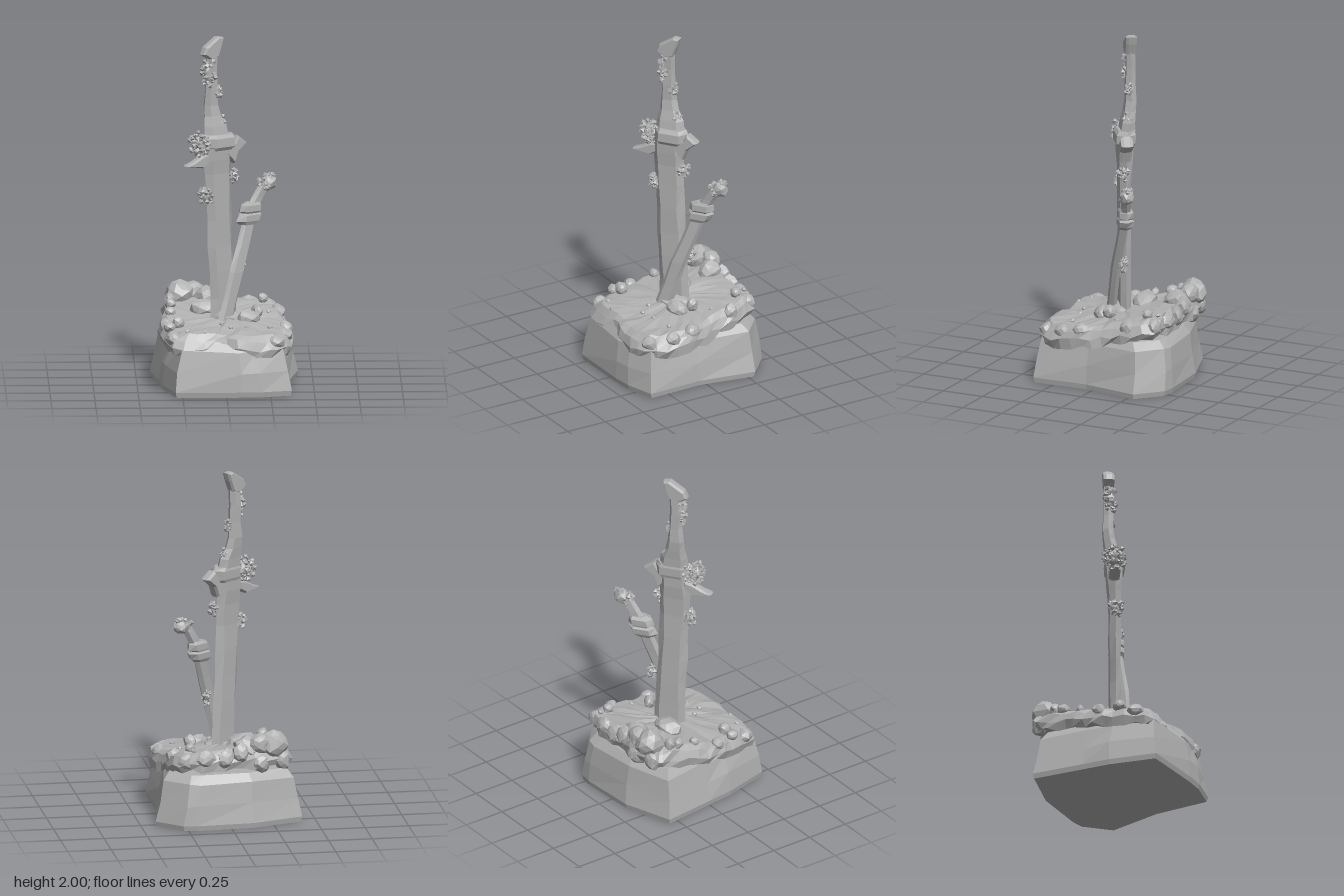
import * as THREE from 'three';
import { mergeGeometries } from 'three/addons/utils/BufferGeometryUtils.js';

const stone = new THREE.MeshStandardMaterial({ color: 0xb0b0b0, flatShading: true });
stone.name = 'weathered grey';

const THETA = 0.63; // heading of both blades
const C = Math.cos(THETA), S = Math.sin(THETA);

export function createModel() {
  const model = new THREE.Group();
  let seed = 7;
  const rand = () => (seed = (seed * 16807) % 2147483647) / 2147483647;
  const jit = (a) => (rand() - 0.5) * 2 * a;

  const add = (name, geo, parent = model) => {
    const mesh = new THREE.Mesh(geo, stone);
    mesh.name = name;
    parent.add(mesh);
    return mesh;
  };

  // Skin a stack of rings from bottom to top and close both ends
  function loft(rings) {
    const pos = [];
    const tri = (...p) => p.forEach((v) => pos.push(v.x, v.y, v.z));
    const mid = (r) => r.reduce((s, v) => s.add(v), new THREE.Vector3()).divideScalar(r.length);
    const n = rings[0].length, last = rings[rings.length - 1];
    const c0 = mid(rings[0]), c1 = mid(last);
    for (let i = 0; i < n; i++) {
      const j = (i + 1) % n;
      for (let k = 0; k + 1 < rings.length; k++) {
        const a = rings[k], b = rings[k + 1];
        tri(a[i], b[i], a[j]);
        tri(a[j], b[i], b[j]);
      }
      tri(c0, rings[0][i], rings[0][j]);
      tri(c1, last[j], last[i]);
    }
    const geo = new THREE.BufferGeometry();
    geo.setAttribute('position', new THREE.Float32BufferAttribute(pos, 3));
    geo.computeVertexNormals();
    return geo;
  }

  // Six-sided bar through sections [y, centreX, centreZ, halfWidth, halfThickness]
  const bar = (sections, rough = 0) => loft(sections.map(([y, cx, cz, w, t]) =>
    [[1, 0], [0.6, 1], [-0.6, 1], [-1, 0], [-0.6, -1], [0.6, -1]].map(([u, v]) => {
      const a = u * w + jit(rough), b = v * t;
      return new THREE.Vector3(cx + a * C + b * S, y, cz - a * S + b * C);
    })));

  // Outline plate standing in the blade plane, points given as x and y
  function plate(name, pts, cx, cz, depth, parent) {
    const shape = new THREE.Shape(pts.map(([x, y]) => new THREE.Vector2((x - cx) / C, y)));
    const geo = new THREE.ExtrudeGeometry(shape, {
      depth: depth * 0.5, bevelEnabled: true, bevelThickness: depth * 0.25,
      bevelSize: 0.008, bevelOffset: -0.008, bevelSegments: 1,
    });
    geo.translate(0, 0, -depth * 0.25);
    const m = add(name, geo, parent);
    m.position.set(cx, 0, cz);
    m.rotation.y = THETA;
  }

  // Irregular boulder
  function rockGeo(x, y, z, rx, ry, rz, detail = 1, rough = 0.13) {
    const geo = new THREE.IcosahedronGeometry(1, detail);
    const p = geo.attributes.position, k = rand() * 20;
    for (let i = 0; i < p.count; i++) {
      const a = p.getX(i), b = p.getY(i), c = p.getZ(i);
      const s = 1 + rough * Math.sin(a * 5 + b * 7 + k) * Math.cos(c * 6 - a * 3 + k);
      p.setXYZ(i, a * s * rx, b * s * ry, c * s * rz);
    }
    geo.rotateY(rand() * 0.8);
    geo.translate(x, y, z);
    geo.computeVertexNormals();
    return geo;
  }

  // Clump of tiny leaves
  function clump(name, x, y, z, rx, ry, rz, count, parent) {
    const parts = [];
    for (let i = 0; i < count; i++) {
      const d = new THREE.Vector3(jit(1), jit(1), jit(1)).normalize().multiplyScalar(0.55 + 0.4 * rand());
      const g = new THREE.OctahedronGeometry(0.011 + 0.007 * rand());
      g.rotateX(rand() * 3);
      g.rotateZ(rand() * 3);
      g.translate(x + d.x * rx, y + d.y * ry, z + d.z * rz);
      parts.push(g);
    }
    parts.push(rockGeo(x, y, z, rx * 0.65, ry * 0.65, rz * 0.65, 0));
    add(name, mergeGeometries(parts), parent);
  }

  // Stone block
  const foot = [[.36, .04], [.37, .37], [.2, .42], [.08, .43], [-.29, .43], [-.36, .16],
    [-.38, 0], [-.42, -.31], [-.13, -.41], [.2, -.43], [.28, -.42], [.42, -.29]];
  add('stoneBlock', loft([[0, .985, .985, 0], [.03, 1, 1, 0], [.14, .95, .975, .008], [.26, .88, .93, .008], [.31, .8, .85, 0]]
    .map(([y, sx, sz, r]) => foot.map(([x, z]) =>
      new THREE.Vector3(x * sx + jit(r), y + jit(r), z * sz + jit(r))))));

  // Mossy ground draped over the block
  const rim = [[.35, -.05], [.38, .05], [.37, .2], [.33, .33], [.2, .4], [.08, .4], [-.02, .37],
    [-.15, .39], [-.29, .37], [-.34, .25], [-.36, .12], [-.38, 0], [-.36, -.1], [-.35, -.25],
    [-.34, -.35], [-.2, -.39], [0, -.38], [.15, -.38], [.28, -.36], [.33, -.25]];
  const edge = new THREE.CatmullRomCurve3(rim.map(([x, z]) => new THREE.Vector3(x, 0, z)), true)
    .getSpacedPoints(44).slice(0, 44);
  const height = (x, z) => 0.39 - 0.12 * z + (z < 0 ? -0.07 * z : 0) - 0.05 * Math.max(0, x);
  add('mossyGround', loft([[.88, -.1, .01], [.98, -.115, .018], [1.01, -.07, .014], [.96, -.025, .012],
    [.87, 0, .01], [.68, .003, .008], [.45, .005, .008], [.22, .01, .005]]
    .map(([s, dy, r]) => edge.map((p) => {
      const x = p.x * s + jit(r * 0.6), z = p.z * s + jit(r * 0.6);
      return new THREE.Vector3(x, height(x, z) + dy + jit(r), z);
    }))));

  // Boulders and mounds [x, y, z, rx, ry, rz]
  const rocks = new THREE.Group();
  rocks.name = 'rocks';
  model.add(rocks);
  [[-.25, .465, -.33, .085, .08, .08], [-.17, .48, -.35, .06, .06, .055], [-.1, .45, -.31, .07, .065, .08],
    [-.06, .43, -.36, .05, .06, .045], [-.31, .45, -.23, .03, .04, .03], [-.31, .44, -.17, .03, .03, .04],
    [-.31, .41, -.06, .03, .03, .025], [-.27, .39, .18, .035, .04, .035], [-.32, .37, .2, .035, .03, .035],
    [.22, .45, -.28, .03, .03, .03], [.18, .42, -.02, .03, .04, .04], [.13, .39, .05, .07, .05, .05],
    [-.11, .42, -.1, .09, .06, .07], [.3, .38, -.2, .04, .05, .05], [.34, .34, .08, .04, .045, .05],
    [.33, .32, .2, .045, .04, .05], [.28, .3, .32, .05, .04, .05], [-.3, .32, .3, .045, .04, .05],
    [-.34, .36, .08, .035, .04, .04], [-.3, .38, -.34, .05, .06, .045], [-.18, .37, -.36, .06, .06, .04],
    [.02, .4, -.36, .06, .06, .04], [.14, .4, -.36, .06, .05, .04], [.25, .39, -.34, .05, .05, .04],
    [.01, .39, 0, .1, .04, .08]]
    .forEach((r) => add('rock', rockGeo(...r), rocks));

  // Scattered pebbles
  [[-.22, .3], [-.12, .33], [.03, .22], [.12, .2], [.25, .18], [-.02, .15], [.21, -.34], [.25, -.1]]
    .forEach(([x, z]) => add('pebble', rockGeo(x, height(x, z) + .006, z, .016, .014, .014, 0), rocks));

  // Tall sword: worn blade, collar, tapering grip and slanted pommel
  const tall = new THREE.Group();
  tall.name = 'tallSword';
  model.add(tall);
  add('tallBlade', bar([[.33, -.01, -.015, .094, .03], [.5, -.013, -.014, .093, .03], [.66, -.02, -.01, .088, .032],
    [.8, -.028, -.007, .088, .03], [.95, -.033, -.004, .086, .033], [1.1, -.038, 0, .09, .031],
    [1.22, -.043, 0, .094, .034], [1.3, -.045, 0, .095, .042], [1.38, -.045, 0, .085, .045]], .005), tall);
  add('tallCollar', bar([[1.355, -.035, -.005, .095, .045], [1.375, -.03, -.005, .105, .055],
    [1.425, -.03, -.008, .105, .055], [1.445, -.035, -.01, .09, .045]], .004), tall);
  add('tallGrip', bar([[1.42, -.045, -.01, .088, .04], [1.49, -.055, -.014, .08, .036], [1.55, -.07, -.018, .06, .032],
    [1.61, -.08, -.02, .047, .03], [1.7, -.076, -.02, .04, .028], [1.8, -.08, -.02, .036, .026],
    [1.91, -.075, -.02, .034, .026]], .003), tall);
  plate('tallPommel', [[-.09, 1.87], [-.05, 1.885], [-.03, 1.95], [-.02, 1.995], [-.05, 2],
    [-.12, 1.945], [-.135, 1.905]], -.075, -.02, .062, tall);
  plate('guardHorn', [[-.01, 1.33], [.04, 1.27], [.06, 1.335], [.11, 1.385], [.06, 1.43], [.04, 1.39], [0, 1.39]],
    0, -.02, .07, tall);
  plate('guardTip', [[-.23, 1.28], [-.14, 1.26], [-.1, 1.29], [-.1, 1.34], [-.14, 1.33], [-.19, 1.3]],
    -.1, .03, .06, tall);

  // Growth on the tall sword
  clump('guardMoss', -.14, 1.4, .06, .075, .075, .07, 95, tall);
  clump('bladeMoss', -.11, 1.1, .05, .05, .06, .04, 45, tall);
  clump('bladeMoss', .05, 1.2, -.04, .025, .045, .04, 30, tall);
  clump('gripMoss', -.095, 1.8, .005, .045, .1, .035, 50, tall);
  clump('gripMoss', -.04, 1.68, -.03, .022, .04, .028, 20, tall);
  clump('gripMoss', -.015, 1.51, -.035, .022, .04, .03, 20, tall);

  // Short leaning sword
  const lean = new THREE.Group();
  lean.name = 'leaningSword';
  model.add(lean);
  add('leaningBlade', bar([[.34, -.012, .07, .052, .024], [.5, .027, .035, .05, .022], [.65, .062, .001, .05, .024],
    [.8, .102, -.045, .047, .022], [.95, .138, -.09, .045, .022]], .003), lean);
  add('leaningGuard', bar([[.91, .125, -.085, .05, .03], [.93, .13, -.09, .08, .04], [.965, .14, -.1, .08, .042],
    [.975, .142, -.1, .055, .035], [.985, .145, -.1, .075, .04], [1.02, .15, -.105, .07, .04],
    [1.035, .16, -.11, .045, .03]], .006), lean);
  add('leaningGrip', bar([[1, .155, -.105, .044, .025], [1.06, .185, -.125, .04, .025], [1.14, .23, -.15, .038, .025]], .003), lean);
  add('leaningPommel', rockGeo(.25, 1.135, -.165, .046, .045, .04), lean);
  clump('pommelMoss', .215, 1.12, -.142, .04, .05, .035, 35, lean);
  clump('pommelMoss', .25, 1.17, -.17, .03, .02, .03, 14, lean);
  clump('leaningBladeMoss', .09, .68, -.065, .022, .055, .025, 20, lean);

  return model;
}
